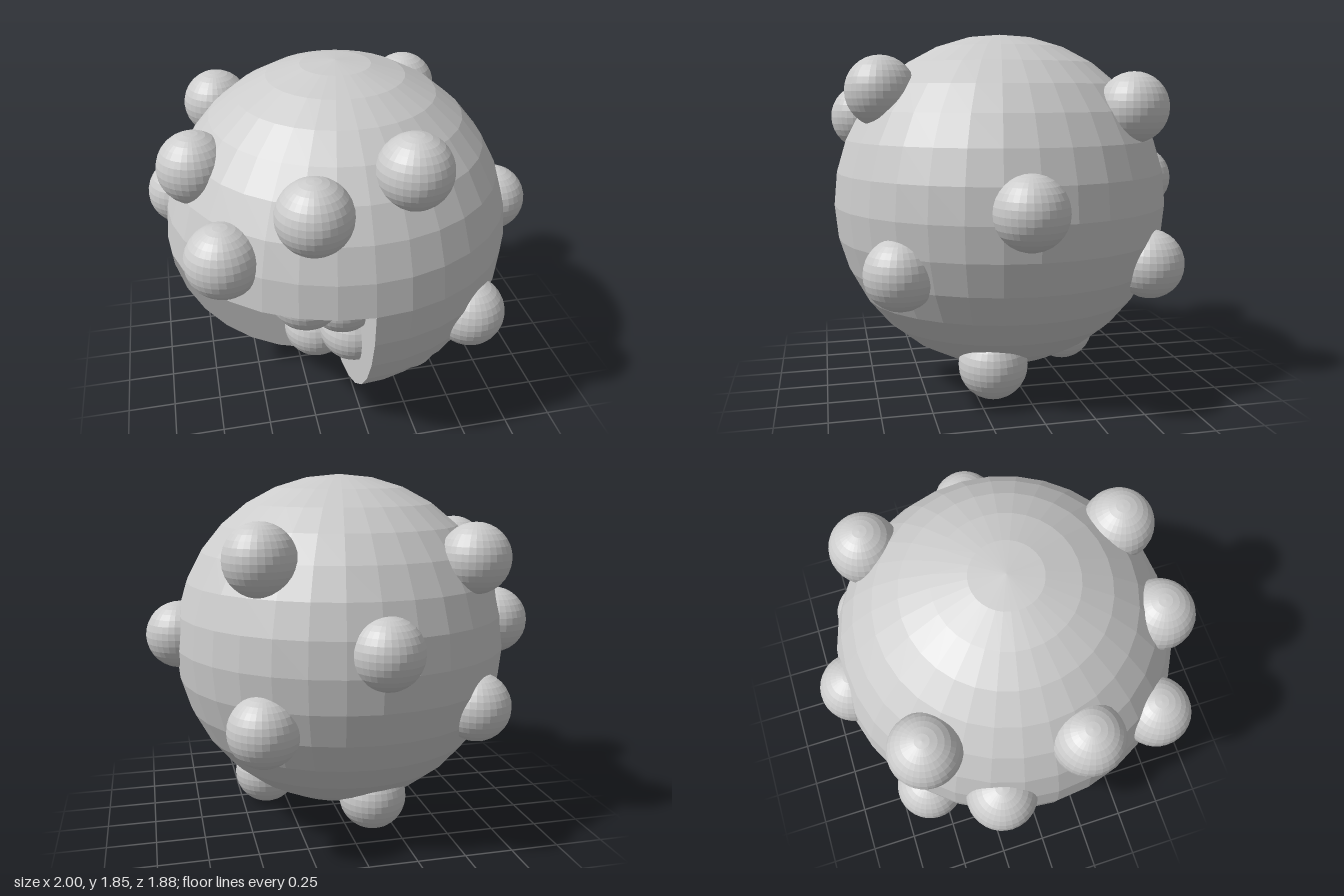
import * as THREE from 'three';

const R = 0.887;
const KNOB_R = 0.177;
const material = new THREE.MeshStandardMaterial({ color: 0xcccccc, flatShading: true });

function addMesh(parent, geometry, name) {
  const mesh = new THREE.Mesh(geometry, material);
  mesh.name = name;
  parent.add(mesh);
  return mesh;
}

export function createModel() {
  const model = new THREE.Group();
  model.name = 'knobbedSphere';
  const core = new THREE.Group();
  core.name = 'core';
  core.position.set(-0.04, 0.967, 0.045);
  model.add(core);

  // Shell: full upper half, and a lower half missing its front quarter at -x
  const q = Math.PI / 2;
  addMesh(core, new THREE.SphereGeometry(R, 32, 8, 0, 4 * q, 0, q), 'upperShell');
  addMesh(core, new THREE.SphereGeometry(R, 24, 8, q, 3 * q, q, q), 'lowerShell');

  // Three flat quarter discs closing the cut-away
  addMesh(core, new THREE.CircleGeometry(R, 8, 2 * q, q), 'cutBackWall');
  addMesh(core, new THREE.CircleGeometry(R, 8, 3 * q, q).rotateY(-q), 'cutSideWall');
  addMesh(core, new THREE.CircleGeometry(R, 8, q, q).rotateX(q), 'cutCeiling');

  // Knobs set half into the shell, relative to the core's centre
  const outer = [
    [0.22, 0.59, 0.65], [-0.24, 0.45, 0.71], [-0.72, 0.47, 0.17], [-0.64, 0.2, 0.585],
    [-0.79, 0.12, -0.265], [0.86, 0.055, 0.045], [0.56, -0.26, 0.6], [0.51, 0.51, -0.565],
    [-0.03, 0.1, -0.82], [-0.55, 0.49, -0.56], [-0.57, -0.255, -0.595], [0.52, -0.28, -0.665],
    [0.4, -0.79, 0.125], [-0.09, -0.775, -0.385],
  ];
  // Knobs standing out of the cut faces
  const inner = [
    [-0.625, -0.125, 0.1], [-0.27, 0, 0.63], [-0.08, -0.115, 0.54],
    [0, -0.38, 0.45], [-0.135, -0.62, 0.1],
  ];
  const knob = new THREE.SphereGeometry(KNOB_R, 32, 16);
  for (const p of outer) addMesh(core, knob, 'outerKnob').position.set(...p);
  for (const p of inner) addMesh(core, knob, 'innerKnob').position.set(...p);
  return model;
}
